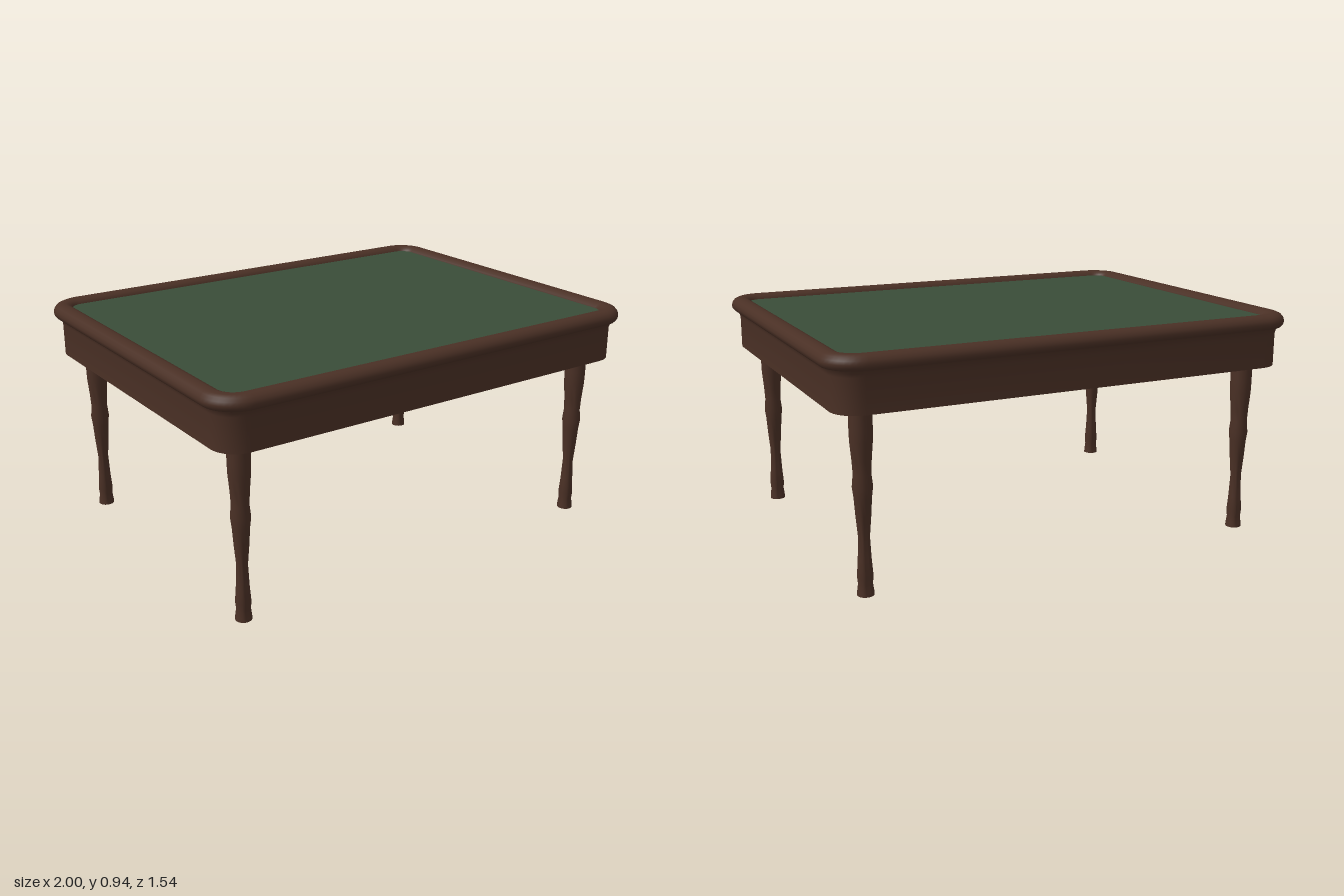
import * as THREE from 'three';
import { toCreasedNormals } from 'three/addons/utils/BufferGeometryUtils.js';

const HALF_X = 1.0, HALF_Z = 0.77, CORNER = 0.14, STEPS = 10;

// Points of the rounded rectangle outline, moved inwards by inset
function outline(inset) {
  const pts = [], r = CORNER - inset;
  const signs = [[1, 1], [-1, 1], [-1, -1], [1, -1]];
  signs.forEach(([sx, sz], q) => {
    for (let i = 0; i <= STEPS; i++) {
      const a = (q + i / STEPS) * Math.PI / 2;
      pts.push(new THREE.Vector2(
        sx * (HALF_X - CORNER) + r * Math.cos(a),
        sz * (HALF_Z - CORNER) + r * Math.sin(a)));
    }
  });
  return pts;
}

// Closed profile of [inset, y] pairs swept around the outline
function frame(profile) {
  const loops = profile.map(([inset]) => outline(inset));
  const n = loops[0].length, m = profile.length;
  const pos = [], index = [];
  loops.forEach((loop, j) => loop.forEach(p => pos.push(p.x, profile[j][1], p.y)));
  for (let j = 0; j < m; j++) {
    for (let i = 0; i < n; i++) {
      const k = (i + 1) % n, j2 = (j + 1) % m;
      const a = j * n + i, b = j2 * n + i, c = j * n + k, d = j2 * n + k;
      index.push(a, b, c, b, d, c);
    }
  }
  const g = new THREE.BufferGeometry();
  g.setAttribute('position', new THREE.Float32BufferAttribute(pos, 3));
  g.setIndex(index);
  return toCreasedNormals(g, 0.7);
}

export function createModel() {
  const wood = new THREE.MeshStandardMaterial({ color: 0x4a3025 });
  wood.name = 'dark wood';
  const felt = new THREE.MeshStandardMaterial({ color: 0x394d38 });
  felt.name = 'green felt';

  const table = new THREE.Group();
  table.name = 'feltTable';
  const add = (name, geometry, material) => {
    const mesh = new THREE.Mesh(geometry, material);
    mesh.name = name;
    table.add(mesh);
    return mesh;
  };

  // Rounded rim around the playing surface
  add('rim', frame([
    [0.03, 0.885], [0.012, 0.889], [0.003, 0.9], [0, 0.912], [0.004, 0.926],
    [0.014, 0.938], [0.03, 0.945], [0.054, 0.945], [0.07, 0.939],
    [0.08, 0.929], [0.085, 0.915], [0.085, 0.885],
  ]), wood);

  // Hollow apron with a small cove under the rim
  add('apron', frame([
    [0.035, 0.725], [0.035, 0.86], [0.031, 0.875], [0.022, 0.889],
    [0.085, 0.889], [0.085, 0.725],
  ]), wood);

  // Felt bed, open to the underside
  const bed = new THREE.ExtrudeGeometry(new THREE.Shape(outline(0.08)),
    { depth: 0.085, bevelEnabled: false });
  bed.rotateX(Math.PI / 2);
  add('feltBed', bed, felt).position.y = 0.925;

  // Turned legs
  const profile = [
    [0, 0], [0.033, 0], [0.032, 0.015], [0.028, 0.045], [0.031, 0.075],
    [0.026, 0.14], [0.022, 0.23], [0.029, 0.31], [0.034, 0.385], [0.039, 0.425],
    [0.034, 0.475], [0.037, 0.53], [0.043, 0.6], [0.044, 0.65], [0.044, 0.85],
  ].map(([r, y]) => new THREE.Vector2(r, y));
  const legGeometry = toCreasedNormals(new THREE.LatheGeometry(profile, 20), 0.7);
  for (const [end, z] of [['front', 0.615], ['back', -0.615]]) {
    for (const [side, x] of [['Left', 0.845], ['Right', -0.845]]) {
      add(end + side + 'Leg', legGeometry, wood).position.set(x, 0, z);
    }
  }
  return table;
}
